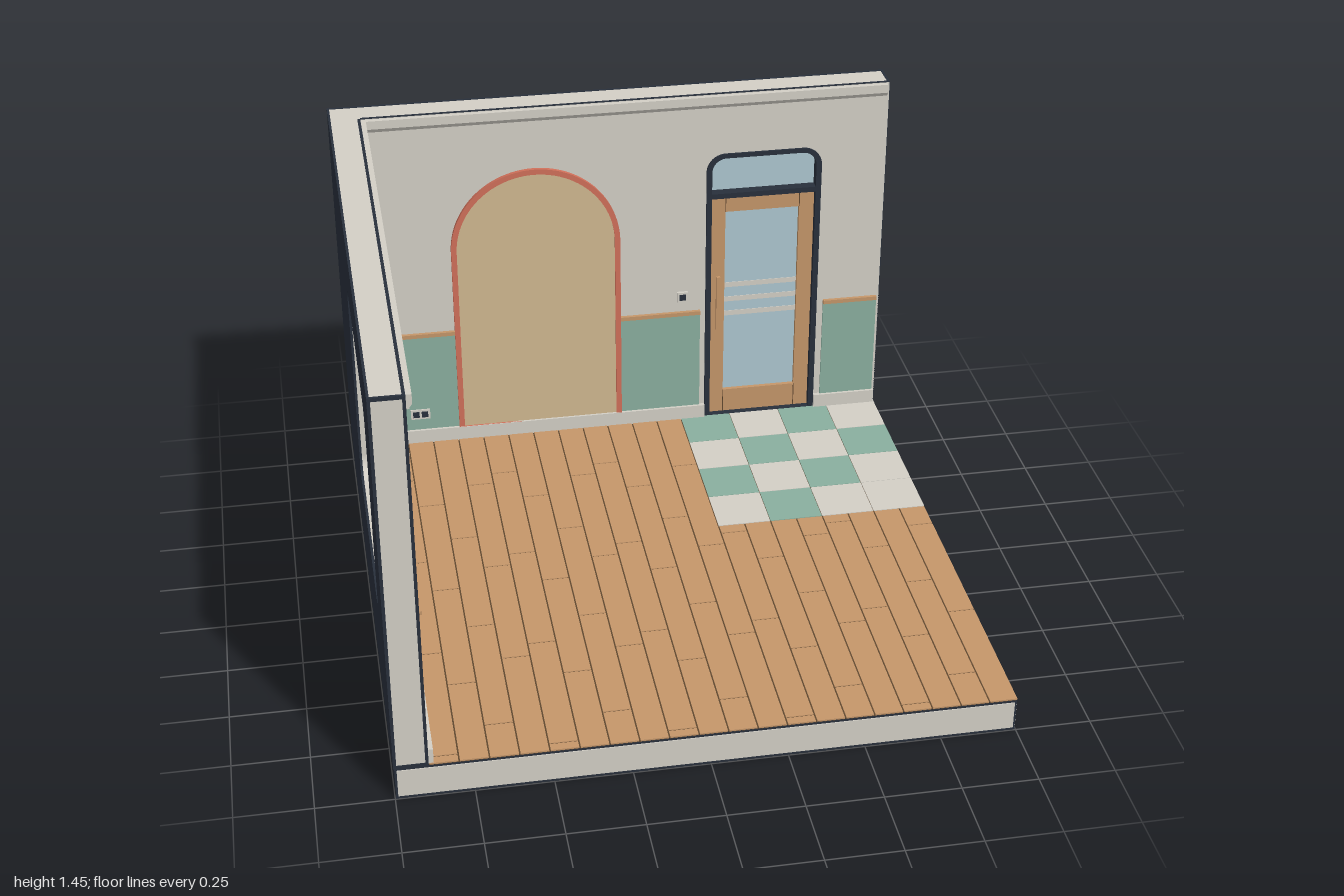
import * as THREE from 'three';

const mat = (name, color, side = THREE.FrontSide) => {
  const m = new THREE.MeshStandardMaterial({ color, side });
  m.name = name;
  return m;
};

export function createModel() {
  const cream = mat('cream plaster', 0xd3cfc6);
  const navy = mat('navy', 0x28303c);
  const wood = mat('oak', 0xc5966a);
  const sand = mat('sand', 0xd0b891);
  const coral = mat('terracotta', 0xd0705a);
  const sage = mat('sage green', 0x8aaf9f);
  const glass = mat('pale blue glass', 0xaec7d0);
  const seam = mat('dark brown seam', 0x60482f);

  const model = new THREE.Group();
  model.name = 'roomCorner';
  const group = (name, parent) => {
    const g = new THREE.Group();
    g.name = name;
    parent.add(g);
    return g;
  };
  const add = (parent, name, geo, material) => {
    const m = new THREE.Mesh(geo, material);
    m.name = name;
    parent.add(m);
    return m;
  };
  // box from its two opposite corners
  const box = (parent, name, material, x0, x1, y0, y1, z0, z1) => {
    const m = add(parent, name, new THREE.BoxGeometry(x1 - x0, y1 - y0, z1 - z0), material);
    m.position.set((x0 + x1) / 2, (y0 + y1) / 2, (z0 + z1) / 2);
    return m;
  };
  // shape extruded from depth z0 to z1
  const slab = (parent, name, material, shape, z0, z1) => {
    const geo = new THREE.ExtrudeGeometry(shape, { depth: z1 - z0, bevelEnabled: false, curveSegments: 24 });
    geo.translate(0, 0, z0);
    return add(parent, name, geo, material);
  };
  // rectangle with rounded bottom (rb) and top (rt) corners
  const roundRect = (x0, x1, y0, y1, rb, rt) => {
    const s = new THREE.Shape();
    s.moveTo(x0 + rb, y0);
    s.lineTo(x1 - rb, y0);
    if (rb) s.absarc(x1 - rb, y0 + rb, rb, -Math.PI / 2, 0);
    s.lineTo(x1, y1 - rt);
    if (rt) s.absarc(x1 - rt, y1 - rt, rt, 0, Math.PI / 2);
    s.lineTo(x0 + rt, y1);
    if (rt) s.absarc(x0 + rt, y1 - rt, rt, Math.PI / 2, Math.PI);
    s.lineTo(x0, y0 + rb);
    if (rb) s.absarc(x0 + rb, y0 + rb, rb, Math.PI, Math.PI * 1.5);
    return s;
  };
  const withHoles = (shape, ...holes) => {
    shape.holes.push(...holes);
    return shape;
  };

  // Base with cream faces on its two open sides
  const base = group('base', model);
  box(base, 'baseSlab', navy, -0.997, 0.997, 0, 0.12, -1, 0.997);
  box(base, 'baseFrontFace', cream, -0.99, 0.99, 0.01, 0.11, 0.99, 1);
  box(base, 'baseRightFace', cream, 0.99, 1, 0.01, 0.11, -0.99, 0.99);

  // Plank floor: staggered boards over a dark seam layer
  const floor = group('floor', model);
  box(floor, 'floorSeams', seam, -0.89, 0.997, 0.118, 0.122, -0.89, 0.997);
  const pitch = 0.0945, gap = 0.0025, left = -0.89;
  const tileX = left + 12 * pitch, tileZ = -0.135;
  const firstJoint = [-0.615, -0.44, -0.215, -0.55], boardLength = 0.527;
  for (let i = 0; i < 20; i++) {
    const start = i < 12 ? -0.89 : tileZ;
    const joints = [start];
    for (let k = 0; k < 4; k++) {
      const z = firstJoint[i % 4] + k * boardLength;
      if (z > start + 0.03 && z < 0.97) joints.push(z);
    }
    joints.push(1);
    const x = left + i * pitch;
    for (let k = 0; k + 1 < joints.length; k++)
      box(floor, 'plank', wood, x + gap, Math.min(x + pitch - gap, 0.998), 0.12, 0.125, joints[k] + gap, joints[k + 1] - gap);
  }

  // Checked entrance tiles
  const tiles = group('entranceTiles', model);
  const tw = (1 - tileX) / 4, td = 0.189;
  for (let r = 0; r < 4; r++) for (let c = 0; c < 4; c++) {
    const green = (r + c) % 2 === 0 && !(r === 3 && c === 3);
    const x = tileX + c * tw, z = tileZ - (4 - r) * td;
    box(tiles, 'tile', green ? sage : cream, x + 0.001, x + tw - 0.001, 0.12, 0.125, z + 0.001, z + td - 0.001);
  }

  // Walls: both are drawn facing +z, then the left one is turned a quarter
  const backWall = group('backWall', model);
  const leftWall = group('leftWall', model);
  leftWall.rotation.y = Math.PI / 2;
  const H = 1.45, face = -0.89;
  const doorHole = () => roundRect(0.335, 0.76, 0.125, 1.217, 0, 0.07);
  const windowHole = () => roundRect(-0.685, 0.135, 0.487, 1.217, 0.07, 0.07);
  const buildWall = (wall, x0, x1, hole, endX, side) => {
    slab(wall, 'plasterWall', cream, withHoles(roundRect(x0, x1, 0.12, H, 0, 0), hole()), -0.992, face);
    slab(wall, 'outerSkin', navy, withHoles(roundRect(-1, 1, 0.12, H, 0, 0), hole()), -1, -0.992);
    // dark edging on the top and on the free end
    const a = Math.min(endX, endX + side * 0.002), b = Math.max(endX, endX + side * 0.002);
    box(wall, 'topInnerEdge', navy, side > 0 ? face : -1, side > 0 ? 1 : -face, H - 0.001, H + 0.002, face - 0.01, face);
    box(wall, 'topOuterEdge', navy, -1, 1, H - 0.001, H + 0.002, -1, -0.992);
    const e0 = side > 0 ? 0.992 : -1;
    box(wall, 'topEndEdge', navy, e0, e0 + 0.008, H - 0.001, H + 0.002, -1, face);
    box(wall, 'endOuterEdge', navy, a, b, 0.12, H, -1, -0.99);
    box(wall, 'endInnerEdge', navy, a, b, 0.12, H, face - 0.01, face);
    box(wall, 'endTopEdge', navy, a, b, H - 0.01, H, -1, face);
    box(wall, 'endBottomEdge', navy, a, b, 0.12, 0.132, -1, face);
  };
  buildWall(backWall, -0.992, 1, doorHole, 0.999, 1);
  buildWall(leftWall, -1, -face, windowHole, -0.999, -1);

  // Crown moulding with a sloped lower edge, and skirting
  const crown = (wall, x0, x1) => {
    const s = new THREE.Shape();
    s.moveTo(0, 0); s.lineTo(0.008, 0); s.lineTo(0.018, 0.015); s.lineTo(0.018, 0.046); s.lineTo(0, 0.046);
    const geo = new THREE.ExtrudeGeometry(s, { depth: x1 - x0, bevelEnabled: false });
    geo.rotateY(-Math.PI / 2);
    const m = add(wall, 'crownMoulding', geo, cream);
    m.position.set(x1, 1.402, face);
  };
  crown(backWall, -0.89, 0.99);
  crown(leftWall, -0.99, 0.89);
  const skirt = (wall, x0, x1) => box(wall, 'skirting', cream, x0, x1, 0.12, 0.177, face, -0.874);
  skirt(backWall, -0.89, 0.335);
  skirt(backWall, 0.76, 0.995);
  skirt(leftWall, -0.995, 0.89);

  // Green wainscot with oak rails
  for (const [x0, x1] of [[-0.89, -0.595], [0.01, 0.315], [0.785, 0.99]]) {
    box(backWall, 'wainscot', sage, x0, x1, 0.177, 0.572, face, -0.884);
    box(backWall, 'wainscotRail', wood, x0, x1, 0.57, 0.585, face, -0.877);
  }

  // Painted arch with a terracotta border
  const archShape = (r) => {
    const s = new THREE.Shape();
    s.moveTo(-0.292 - r, 0.177);
    s.lineTo(-0.292 + r, 0.177);
    s.lineTo(-0.292 + r, 0.908);
    s.absarc(-0.292, 0.908, r, 0, Math.PI);
    return s;
  };
  slab(backWall, 'archPanel', sand, archShape(0.292), face, -0.882);
  const rim = archShape(0.308);
  rim.holes.push(archShape(0.288));
  slab(backWall, 'archBorder', coral, rim, face, -0.876);

  // Glazed door with transom
  const door = group('door', backWall);
  slab(door, 'doorFrame', navy, withHoles(roundRect(0.335, 0.76, 0.125, 1.217, 0, 0.07),
    roundRect(0.355, 0.74, 0.126, 1.04, 0, 0), roundRect(0.355, 0.74, 1.06, 1.2, 0, 0.053)), -0.96, -0.883);
  slab(door, 'transomGlass', glass, roundRect(0.345, 0.75, 1.05, 1.207, 0, 0.06), -0.93, -0.92);
  slab(door, 'doorLeaf', wood, withHoles(roundRect(0.355, 0.74, 0.127, 1.04, 0, 0),
    roundRect(0.41, 0.685, 0.22, 0.975, 0, 0)), -0.945, -0.905);
  for (const x of [0.409, 0.684])
    for (const z of [-0.946, -0.905]) {
      box(door, 'leafJoint', seam, x, x + 0.003, 0.127, 0.22, z, z + 0.001);
      box(door, 'leafJoint', seam, x, x + 0.003, 0.975, 1.04, z, z + 0.001);
    }
  box(door, 'doorGlass', glass, 0.405, 0.69, 0.215, 0.98, -0.93, -0.92);
  for (const y of [0.535, 0.595, 0.655])
    box(door, 'glassStripe', cream, 0.41, 0.685, y, y + 0.02, -0.932, -0.918);
  for (const [z0, z1, p0, p1] of [[-0.889, -0.877, -0.905, -0.889], [-0.973, -0.961, -0.961, -0.945]]) {
    box(door, 'doorHandle', wood, 0.375, 0.389, 0.5, 0.72, z0, z1);
    for (const y of [0.53, 0.68]) box(door, 'handlePost', navy, 0.378, 0.386, y, y + 0.012, p0, p1);
  }

  // Window with mullion, transom bar and sill
  const win = group('window', leftWall);
  slab(win, 'windowFrame', navy, withHoles(windowHole(),
    roundRect(-0.668, 0.118, 0.504, 1.2, 0.053, 0.053)), -0.96, -0.905);
  slab(win, 'windowGlass', glass, roundRect(-0.675, 0.125, 0.497, 1.207, 0.06, 0.06), -0.938, -0.928);
  box(win, 'mullion', navy, -0.321, -0.301, 0.495, 1.21, -0.952, -0.912);
  box(win, 'transomBar', navy, -0.675, 0.125, 1.028, 1.046, -0.952, -0.912);
  box(win, 'windowSill', wood, -0.705, 0.155, 0.478, 0.492, -0.9, -0.866);

  // Roller blind
  const blind = group('blind', leftWall);
  box(blind, 'blindHeadrail', cream, -0.7, 0.15, 1.225, 1.255, face, -0.865);
  box(blind, 'blindFabric', coral, -0.68, 0.13, 1.055, 1.226, -0.883, -0.876);
  box(blind, 'blindHem', cream, -0.68, 0.13, 1.046, 1.057, -0.886, -0.873);
  box(blind, 'blindCord', seam, -0.688, -0.684, 1.03, 1.226, -0.88, -0.876);

  // Slatted panel
  const slats = group('slatPanel', leftWall);
  box(slats, 'slatBacking', navy, 0.205, 0.82, 0.187, 1.225, face, -0.885);
  const count = 16, step = (0.615 - 0.02) / (count - 1);
  for (let i = 0; i < count; i++) {
    const x = 0.205 + i * step;
    box(slats, 'slat', wood, x, x + 0.02, 0.187, 1.225, face, -0.874);
  }
  box(slats, 'slatTopRail', wood, 0.205, 0.82, 1.217, 1.226, face, -0.876);
  box(slats, 'slatBottomRail', wood, 0.205, 0.82, 0.184, 0.193, face, -0.876);

  // Sockets and switch
  const plate = (wall, name, x, y, w, holes) => {
    const g = group(name, wall);
    box(g, 'coverPlate', cream, x - w / 2, x + w / 2, y - 0.02, y + 0.02, face, -0.879);
    for (const h of holes) box(g, 'insert', navy, x + h - 0.012, x + h + 0.012, y - 0.012, y + 0.012, face, -0.877);
  };
  plate(backWall, 'socket', -0.743, 0.244, 0.072, [-0.016, 0.016]);
  plate(leftWall, 'socket', -0.275, 0.244, 0.072, [-0.016, 0.016]);
  plate(backWall, 'lightSwitch', 0.248, 0.648, 0.04, [0]);

  return model;
}
